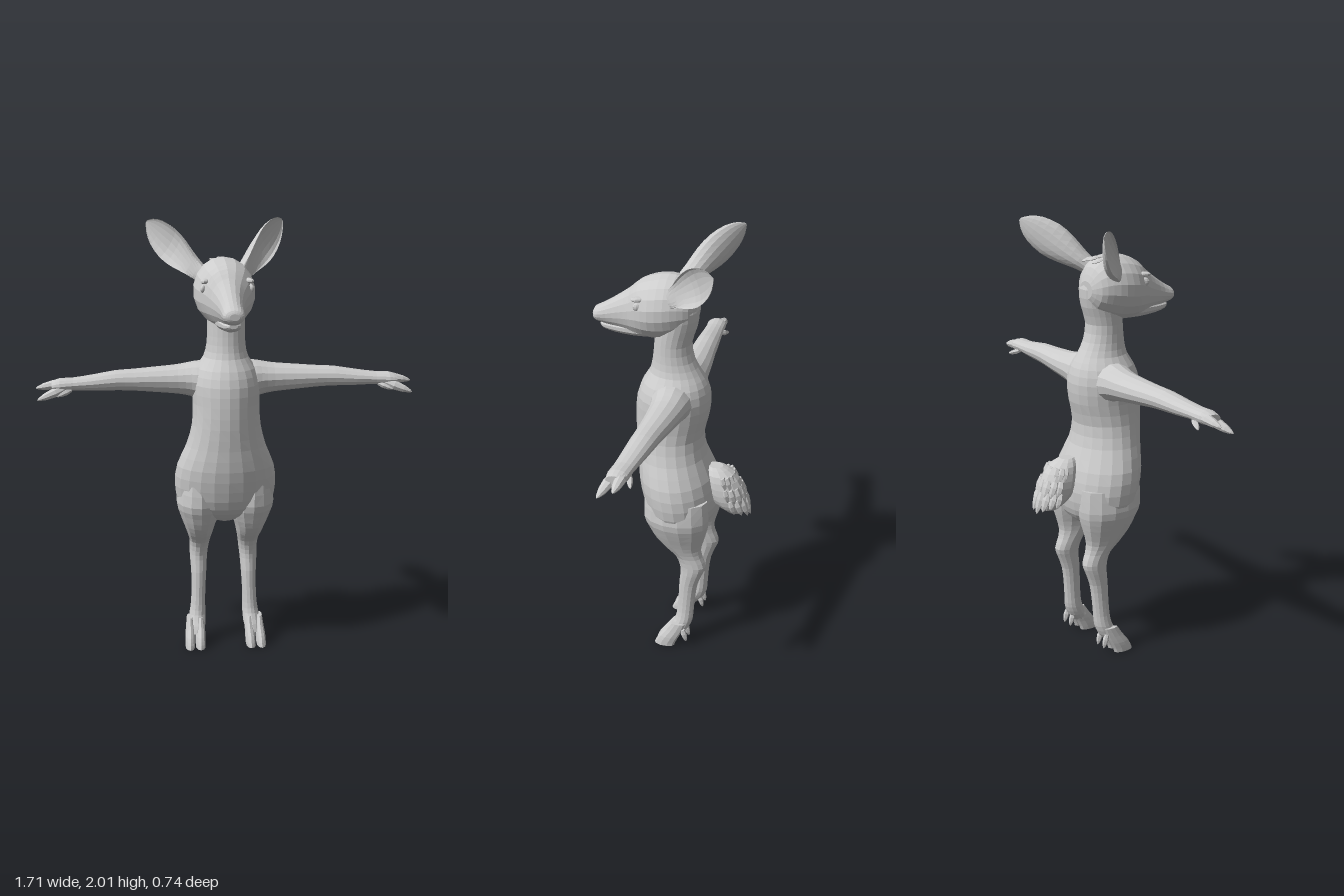
import * as THREE from 'three';

const fur = new THREE.MeshStandardMaterial({ color: 0xcccccc });
fur.name = 'greyFur';

// Catmull-Rom refinement of the section table
function refine(rows, steps) {
  const out = [];
  const at = (i) => rows[Math.min(rows.length - 1, Math.max(0, i))];
  for (let i = 0; i < rows.length - 1; i++) {
    for (let s = 0; s < steps; s++) {
      const f = s / steps, [a, b, c, d] = [at(i - 1), at(i), at(i + 1), at(i + 2)];
      out.push(b.map((_, k) => 0.5 * (2 * b[k] + (c[k] - a[k]) * f
        + (2 * a[k] - 5 * b[k] + 4 * c[k] - d[k]) * f * f
        + (3 * b[k] - a[k] - 3 * c[k] + d[k]) * f * f * f)));
    }
  }
  out.push(rows[rows.length - 1]);
  return out;
}

// Closed, faceted skin over rings of points; winding is set so faces look outward
function skin(name, rings) {
  const n = rings[0].length, pts = rings.flat(), idx = [];
  for (let r = 0; r < rings.length - 1; r++) {
    for (let i = 0; i < n; i++) {
      const a = r * n + i, b = r * n + (i + 1) % n;
      idx.push(a, b, b + n, a, b + n, a + n);
    }
  }
  [0, rings.length - 1].forEach((r, end) => {
    const mid = new THREE.Vector3();
    rings[r].forEach((p) => mid.addScaledVector(p, 1 / n));
    pts.push(mid);
    for (let i = 0; i < n; i++) {
      const a = r * n + i, b = r * n + (i + 1) % n;
      idx.push(...(end ? [a, b, pts.length - 1] : [b, a, pts.length - 1]));
    }
  });
  let volume = 0;
  const t = new THREE.Vector3();
  for (let i = 0; i < idx.length; i += 3) {
    volume += pts[idx[i]].dot(t.crossVectors(pts[idx[i + 1]], pts[idx[i + 2]]));
  }
  if (volume < 0) idx.reverse();
  const g = new THREE.BufferGeometry().setFromPoints(pts);
  g.setIndex(idx);
  const flat = g.toNonIndexed();
  flat.computeVertexNormals();
  const mesh = new THREE.Mesh(flat, fur);
  mesh.name = name;
  return mesh;
}

// Rows: [position along axis, uMin, uMax, vMin, vMax]
const maps = {
  y: (t, u, v) => new THREE.Vector3(u, t, v),
  z: (t, u, v) => new THREE.Vector3(u, v, t),
  x: (t, u, v) => new THREE.Vector3(t, u, v),
};
function loft(name, axis, rows, sides = 16, steps = 2) {
  return skin(name, refine(rows, steps).map(([t, u0, u1, v0, v1]) =>
    Array.from({ length: sides }, (_, i) => {
      const a = ((i + 0.5) / sides) * Math.PI * 2;
      return maps[axis](t, (u0 + u1) / 2 + (u1 - u0) / 2 * Math.cos(a),
        (v0 + v1) / 2 + (v1 - v0) / 2 * Math.sin(a));
    })));
}
const even = (rows) => rows.map(([t, r, a, b]) => [t, -r, r, a, b]);

// Pointed tuft or claw between two points
function spike(name, from, to, r, squash = 1, sides = 6) {
  const a = new THREE.Vector3(...from), b = new THREE.Vector3(...to);
  const d = b.clone().sub(a).normalize();
  const side = new THREE.Vector3(0, 1, 0).cross(d).normalize();
  const up = d.clone().cross(side);
  const rings = [[0, 0.7], [0.35, 1], [0.7, 0.75], [0.92, 0.36], [1, 0.08]].map(([t, k]) =>
    Array.from({ length: sides }, (_, i) => {
      const q = (i / sides) * Math.PI * 2;
      return a.clone().lerp(b, t).addScaledVector(side, r * k * Math.cos(q))
        .addScaledVector(up, r * k * squash * Math.sin(q));
    }));
  return skin(name, rings);
}

function ball(name, pos, scale) {
  const g = new THREE.SphereGeometry(1, 10, 7).scale(...scale).toNonIndexed();
  g.computeVertexNormals();
  const m = new THREE.Mesh(g, fur);
  m.name = name;
  m.position.set(...pos);
  return m;
}

// Cupped leaf-shaped ear opening forward and outward
function ear(s) {
  const base = new THREE.Vector3(0.08, 1.775, 0.0), tip = new THREE.Vector3(0.315, 1.995, -0.235);
  const n = new THREE.Vector3(1, 0, 1).normalize();
  const w = n.clone().cross(tip.clone().sub(base).normalize()).negate();
  if (w.y < 0) w.negate();
  const rows = refine([[0, 0.035, 0.05], [0.2, 0.048, 0.06], [0.4, 0.07, 0.055], [0.6, 0.08, 0.042],
    [0.8, 0.066, 0.026], [0.93, 0.037, 0.012], [1, 0.006, 0.003]], 2);
  return skin('ear', rows.map(([t, hw, depth]) => Array.from({ length: 16 }, (_, i) => {
    const a = (i / 16) * Math.PI * 2, sn = Math.sin(a);
    const k = sn > 0 ? -depth * sn : depth * 0.72 * sn * Math.min(1, 2.5 * t - 0.4);
    const p = base.clone().lerp(tip, t).addScaledVector(w, hw * Math.cos(a)).addScaledVector(n, k + depth * 0.4);
    p.x *= s;
    return p;
  })));
}

export function createModel() {
  const model = new THREE.Group();
  model.name = 'standingFawn';

  // Torso and neck
  model.add(loft('torsoAndNeck', 'y', even([
    [0.625, 0.05, -0.13, 0.0], [0.66, 0.15, -0.175, 0.06], [0.71, 0.215, -0.2, 0.11], [0.8, 0.235, -0.21, 0.14],
    [0.9, 0.224, -0.19, 0.16], [1.0, 0.183, -0.15, 0.167], [1.1, 0.157, -0.135, 0.175],
    [1.2, 0.152, -0.158, 0.177], [1.29, 0.155, -0.165, 0.17], [1.36, 0.135, -0.15, 0.145],
    [1.41, 0.102, -0.122, 0.115], [1.47, 0.088, -0.09, 0.1], [1.55, 0.085, -0.076, 0.092],
    [1.63, 0.088, -0.1, 0.085], [1.71, 0.088, -0.107, 0.05], [1.78, 0.06, -0.08, 0.02]]), 22));

  // Head, turned very slightly
  const head = new THREE.Group();
  head.name = 'head';
  head.position.x = -0.016;
  head.rotation.y = 0.04;
  head.add(loft('skull', 'z', even([
    [-0.1, 0.045, 1.67, 1.75], [-0.075, 0.09, 1.62, 1.81], [-0.03, 0.118, 1.59, 1.848], [0.03, 0.136, 1.568, 1.861],
    [0.1, 0.134, 1.562, 1.848], [0.16, 0.108, 1.566, 1.822], [0.2, 0.082, 1.572, 1.786],
    [0.25, 0.062, 1.582, 1.748], [0.31, 0.05, 1.594, 1.706], [0.35, 0.048, 1.606, 1.682],
    [0.368, 0.04, 1.615, 1.672], [0.376, 0.022, 1.628, 1.658]]), 18));
  head.add(loft('lowerJaw', 'z', even([
    [0.08, 0.06, 1.56, 1.64], [0.18, 0.058, 1.557, 1.63], [0.27, 0.044, 1.562, 1.62],
    [0.325, 0.034, 1.575, 1.615], [0.342, 0.018, 1.588, 1.608]]), 12));
  head.add(ball('nose', [0, 1.652, 0.355], [0.036, 0.02, 0.02]));
  for (const s of [-1, 1]) {
    head.add(ear(s));
    const eye = ball('eye', [s * 0.1, 1.735, 0.142], [0.014, 0.021, 0.027]);
    eye.rotation.y = s * 0.6;
    const brow = ball('brow', [s * 0.093, 1.768, 0.14], [0.02, 0.012, 0.04]);
    brow.rotation.y = s * 0.5;
    const nostril = ball('nostril', [s * 0.028, 1.645, 0.36], [0.011, 0.014, 0.012]);
    head.add(eye, brow, nostril);
  }
  // Short hair plates on the crown
  for (let r = 0; r < 3; r++) {
    for (let i = -1; i <= 1; i++) {
      const z = 0.05 - r * 0.045;
      head.add(spike('crownTuft', [i * 0.035, 1.85 - Math.abs(i) * 0.006, z],
        [i * 0.037, 1.856 - r * 0.008 - Math.abs(i) * 0.008, z - 0.055], 0.018, 0.35));
    }
  }
  model.add(head);

  // Limbs, mirrored
  for (const s of [1, -1]) {
    const side = s > 0 ? 'left' : 'right';
    const arm = new THREE.Group();
    arm.name = side + 'Arm';
    arm.add(loft('foreleg', 'x', [
      [0.03, 1.2, 1.39, -0.11, 0.08], [0.11, 1.205, 1.388, -0.11, 0.08], [0.16, 1.225, 1.381, -0.105, 0.066],
      [0.22, 1.237, 1.37, -0.098, 0.056], [0.32, 1.247, 1.362, -0.086, 0.05], [0.42, 1.257, 1.355, -0.072, 0.048],
      [0.5, 1.261, 1.351, -0.064, 0.049], [0.6, 1.263, 1.336, -0.05, 0.052], [0.69, 1.267, 1.325, -0.038, 0.054],
      [0.75, 1.262, 1.324, -0.034, 0.06], [0.785, 1.268, 1.312, -0.022, 0.054]]
      .map(([x, ...r]) => [x * s, ...r]), 14));
    arm.add(spike('upperDigit', [s * 0.73, 1.3, -0.008], [s * 0.857, 1.278, -0.002], 0.026, 0.85, 8));
    arm.add(spike('lowerDigit', [s * 0.73, 1.282, 0.035], [s * 0.85, 1.238, 0.07], 0.026, 0.85, 8));
    arm.add(spike('wristSpur', [s * 0.7, 1.275, -0.02], [s * 0.765, 1.252, -0.045], 0.014));
    arm.add(spike('wristSpur', [s * 0.7, 1.275, 0.035], [s * 0.765, 1.25, 0.062], 0.014));
    model.add(arm);

    const leg = new THREE.Group();
    leg.name = side + 'Leg';
    const x = (rows) => rows.map(([y, a, b, ...z]) => [y, a * s, b * s, ...z]);
    leg.add(loft('hindLeg', 'y', x([
      [0.82, 0.03, 0.215, -0.19, 0.11], [0.72, 0.014, 0.228, -0.198, 0.112], [0.66, 0.024, 0.214, -0.19, 0.088],
      [0.6, 0.046, 0.192, -0.174, 0.056], [0.55, 0.058, 0.175, -0.162, 0.012], [0.505, 0.067, 0.163, -0.168, -0.038],
      [0.455, 0.074, 0.161, -0.185, -0.06], [0.41, 0.079, 0.16, -0.17, -0.064], [0.35, 0.083, 0.156, -0.148, -0.058],
      [0.27, 0.088, 0.155, -0.137, -0.055], [0.19, 0.09, 0.159, -0.131, -0.05], [0.14, 0.089, 0.167, -0.126, -0.04],
      [0.095, 0.092, 0.172, -0.108, -0.014], [0.06, 0.1, 0.172, -0.08, 0.0]]), 14));
    for (const [a, b] of [[0.096, 0.144], [0.147, 0.193]]) {
      leg.add(loft('hoof', 'y', x([
        [0.13, a + 0.006, b - 0.012, -0.1, -0.03], [0.085, a, b - 0.006, -0.085, 0.0],
        [0.05, a, b - 0.001, -0.068, 0.027], [0.02, a, b, -0.054, 0.044], [0, a + 0.002, b, -0.048, 0.051]]), 10));
      leg.add(spike('dewclaw', [s * (a + b) / 2, 0.1, -0.09], [s * (a + b) / 2, 0.035, -0.108], 0.014));
    }
    model.add(leg);
  }

  // Shaggy tail built of overlapping tufts
  const tail = new THREE.Group();
  tail.name = 'tail';
  tail.add(loft('tailCore', 'y', even([
    [0.95, 0.03, -0.23, -0.16], [0.92, 0.064, -0.285, -0.15], [0.86, 0.08, -0.325, -0.15],
    [0.8, 0.08, -0.342, -0.17], [0.755, 0.065, -0.345, -0.21], [0.725, 0.04, -0.335, -0.25]]), 12));
  [[0.92, 0.07, -0.24, 0.045], [0.865, 0.08, -0.265, 0.06], [0.81, 0.078, -0.28, 0.065]].forEach(([y, rx, z, rz], row) => {
    for (let i = 0; i < 7; i++) {
      const a = ((i + (row % 2) * 0.4 - 3.2) / 3) * 1.6, sx = Math.sin(a), c = Math.cos(a);
      tail.add(spike('tailTuft', [sx * rx * 0.85, y, z - c * rz * 0.8],
        [sx * rx * 0.85, y - 0.1 + Math.abs(sx) * 0.03, z - 0.02 - c * rz], 0.024, 0.6));
    }
  });
  model.add(tail);
  return model;
}
